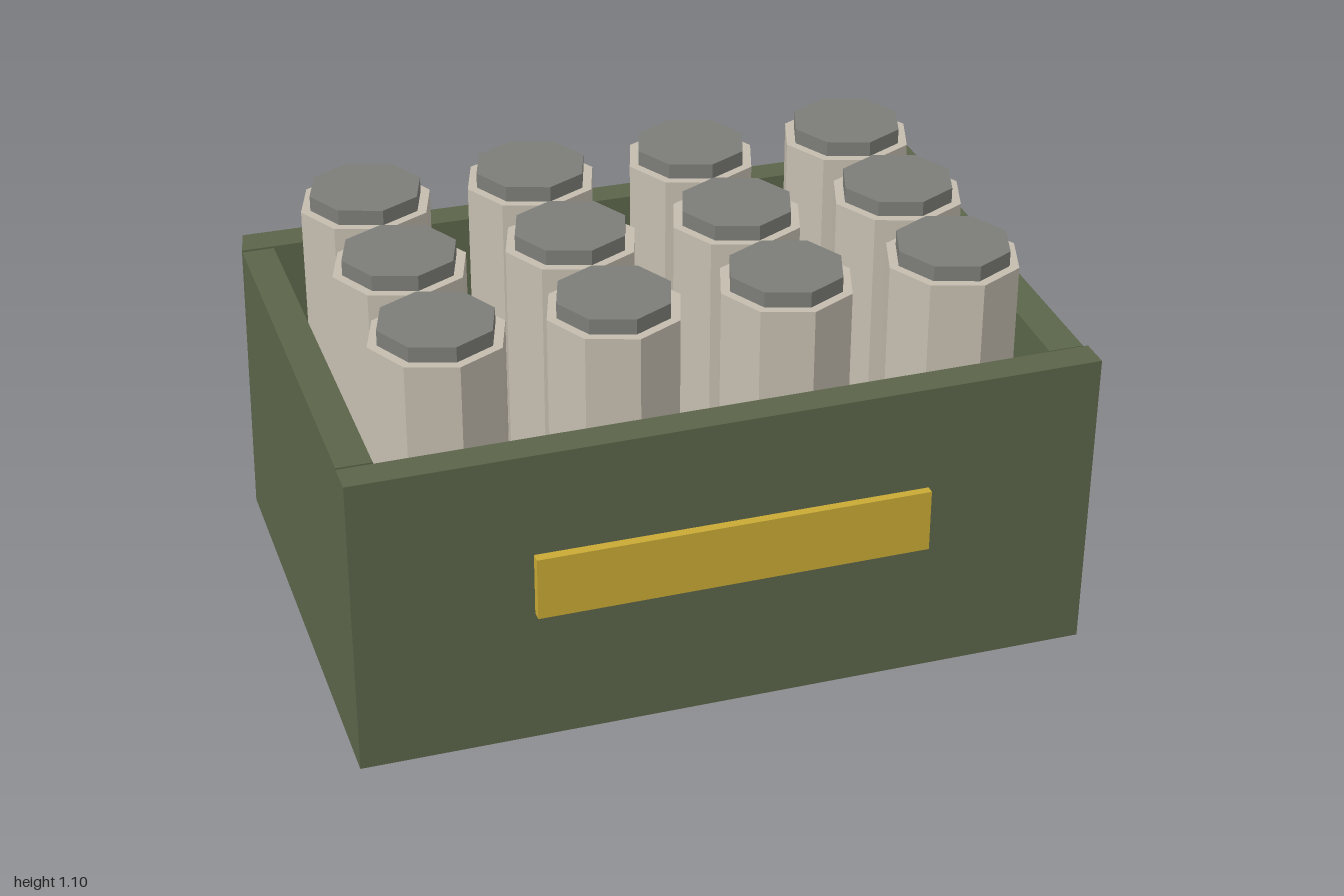
import * as THREE from 'three';

const mat = (color) => new THREE.MeshStandardMaterial({ color, flatShading: true });

export function createModel() {
  const model = new THREE.Group();
  const green = mat(0x5b654a), yellow = mat(0xc9a935);
  const shell = mat(0xc4bcae), lid = mat(0x7c7d78);

  const add = (name, geometry, material, parent = model) => {
    const mesh = new THREE.Mesh(geometry, material);
    mesh.name = name;
    parent.add(mesh);
    return mesh;
  };

  // A box between two corners; warp nudges each corner, given its signs
  const slab = (name, min, max, material, warp = () => [0, 0, 0]) => {
    const geo = new THREE.BoxGeometry(2, 2, 2);
    const pos = geo.attributes.position;
    for (let i = 0; i < pos.count; i++) {
      const s = [pos.getX(i), pos.getY(i), pos.getZ(i)];
      const d = warp(...s);
      pos.setXYZ(i, ...s.map((v, k) => (v > 0 ? max[k] : min[k]) + d[k]));
    }
    geo.computeVertexNormals();
    return add(name, geo, material);
  };

  // Crate: floor and four slightly crooked boards
  slab('floor', [-0.96, 0.004, -0.63], [0.95, 0.08, 0.63], green);
  slab('frontWall', [-0.995, 0, 0.585], [0.985, 0.845, 0.67], green,
    (x, y, z) => [x > 0 && y > 0 ? 0.006 : 0, y > 0 ? 0.005 * x : 0, 0.004 * x]);
  slab('backWall', [-0.995, 0, -0.675], [0.99, 0.855, -0.588], green,
    (x, y, z) => [x < 0 && z < 0 && y > 0 ? 0.02 : x > 0 && y > 0 ? 0.005 : 0,
      y > 0 ? -0.003 * x : 0, z < 0 ? 0.006 * x : y < 0 ? 0.015 : -0.002]);
  slab('leftWall', [0.895, 0, -0.58], [0.985, 0.85, 0.573], green,
    (x, y, z) => [x < 0 ? -0.005 * z : 0, y > 0 ? -0.008 * z : 0, z > 0 && y < 0 ? 0.01 : 0]);
  slab('rightWall', [-0.995, 0, -0.583], [-0.905, 0.85, 0.58], green,
    (x, y, z) => [x > 0 ? 0.003 * z : 0, y > 0 ? -0.006 * z : 0, 0]);

  // Label plates
  slab('frontPlate', [-0.527, 0.38, 0.64], [0.527, 0.555, 0.695], yellow);
  slab('backPlate', [-0.527, 0.38, -0.695], [0.527, 0.555, -0.64], yellow);

  // Canisters in a 4 x 3 grid
  const bodyGeo = new THREE.CylinderGeometry(0.18, 0.18, 0.98, 8);
  const capGeo = new THREE.CylinderGeometry(0.154, 0.154, 0.09, 8);
  for (let row = -1; row <= 1; row++) {
    for (let col = 0; col < 4; col++) {
      const canister = new THREE.Group();
      canister.name = 'canister';
      canister.position.set((col - 1.5) * 0.457, 0, row * 0.385);
      canister.rotation.y = 0.08;
      add('canisterBody', bodyGeo, shell, canister).position.y = 0.57;
      add('canisterCap', capGeo, lid, canister).position.y = 1.057;
      model.add(canister);
    }
  }
  return model;
}
